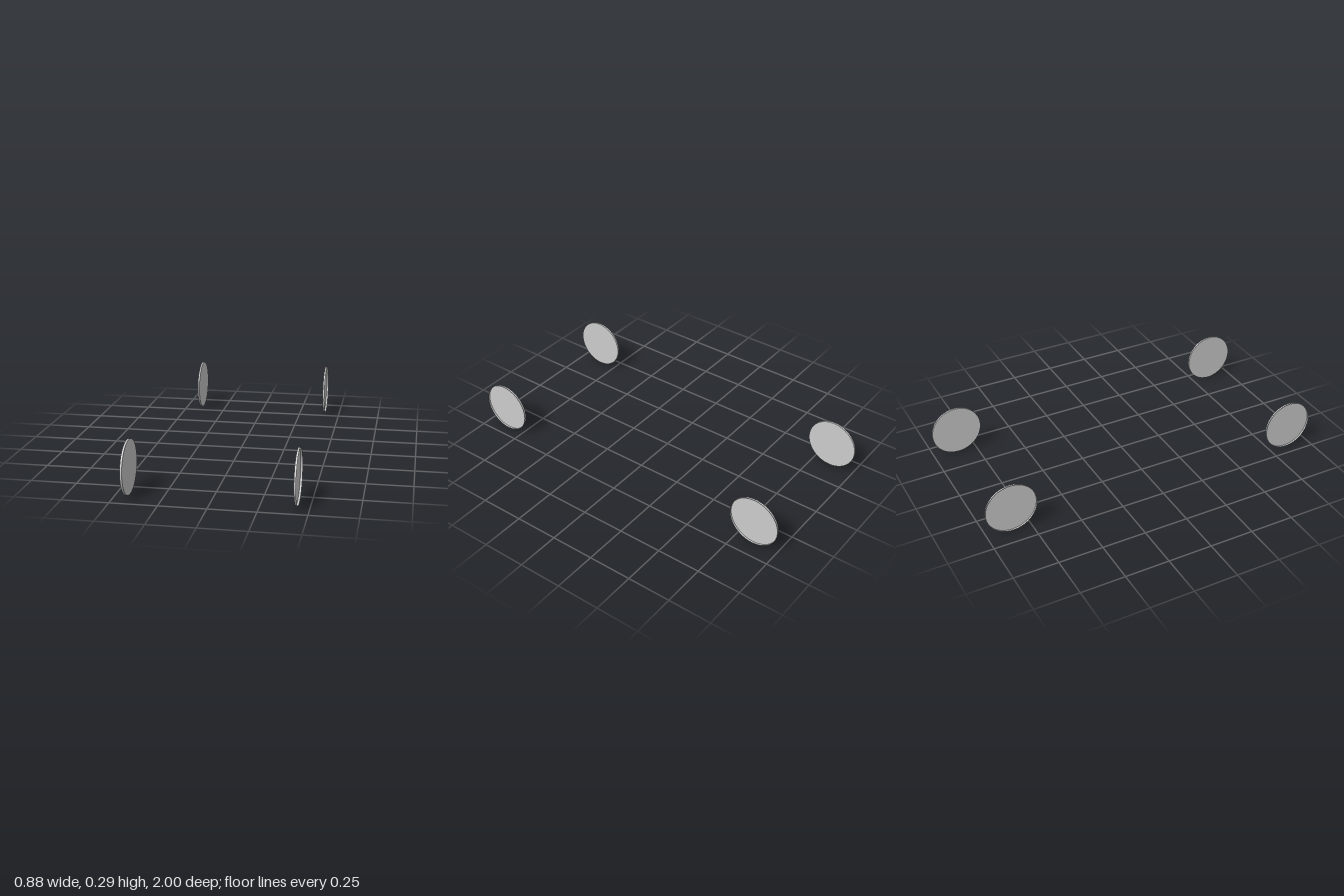
import * as THREE from 'three';

const RADIUS = 0.145;
const WIDTH = 0.011;

// Shallow disc cover: a cap on the inner side, with a thin rim open outwards
function wheelDisc(name, x, z) {
  const material = new THREE.MeshStandardMaterial({ color: 0xcccccc, side: THREE.DoubleSide });
  const side = Math.sign(x);
  const disc = new THREE.Group();
  disc.name = name;

  const rim = new THREE.Mesh(
    new THREE.CylinderGeometry(RADIUS, RADIUS, WIDTH, 64, 1, true).rotateZ(Math.PI / 2),
    material
  );
  rim.name = 'rim';

  const cap = new THREE.Mesh(
    new THREE.CircleGeometry(RADIUS, 64).rotateY(-side * Math.PI / 2),
    material
  );
  cap.name = 'cap';
  cap.position.x = -side * WIDTH / 2;

  disc.add(rim, cap);
  disc.position.set(x, RADIUS, z);
  return disc;
}

export function createModel() {
  const model = new THREE.Group();
  model.name = 'wheelDiscs';
  // Front pair sits slightly wider than the rear pair
  model.add(
    wheelDisc('frontLeftDisc', 0.434, 0.855),
    wheelDisc('frontRightDisc', -0.434, 0.855),
    wheelDisc('rearLeftDisc', 0.406, -0.855),
    wheelDisc('rearRightDisc', -0.402, -0.855)
  );
  return model;
}
